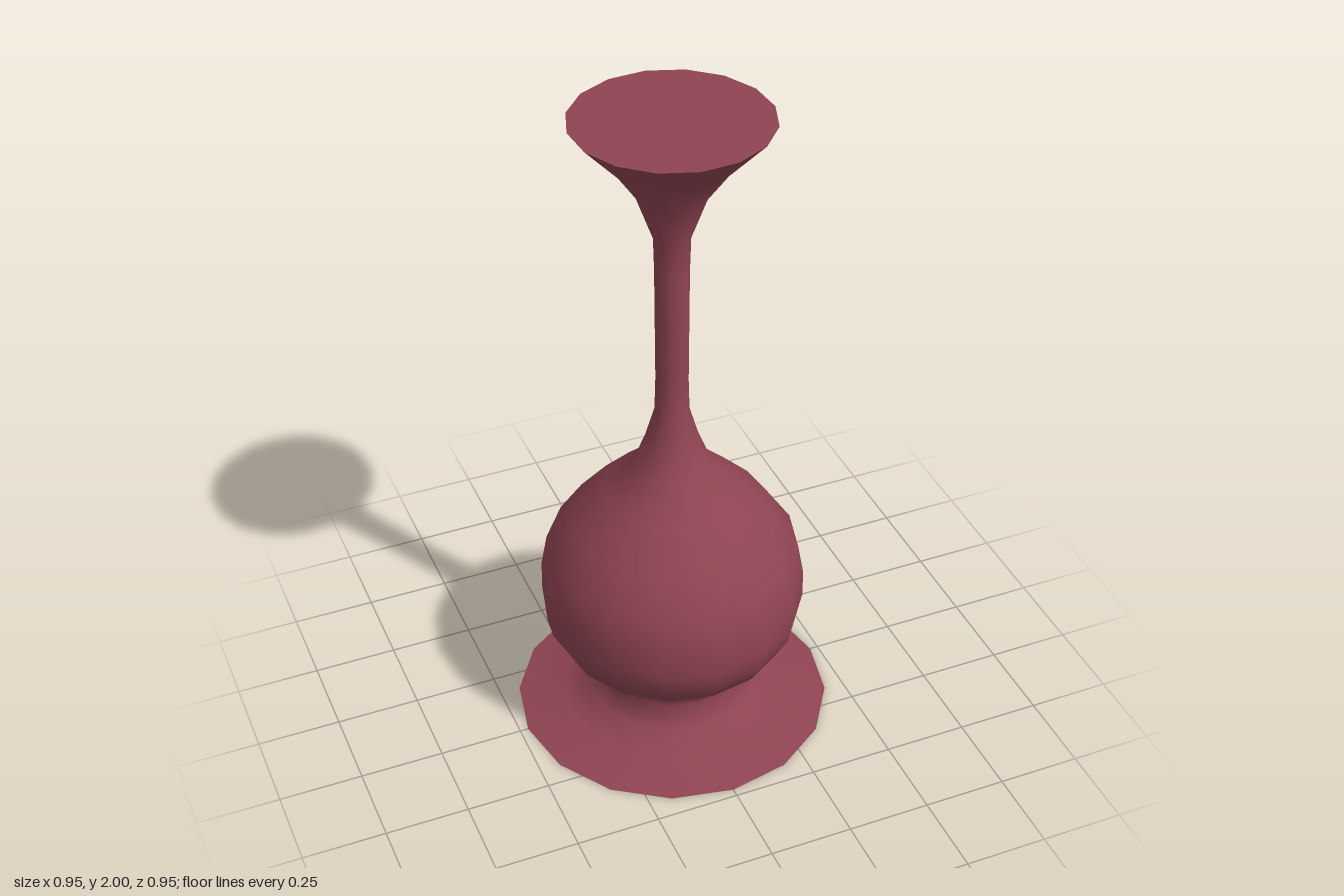
import * as THREE from 'three';

const SIDES = 16;
const TWIST = THREE.MathUtils.degToRad(0.38); // slight turn added at each ring

// radius, height from foot to rim
const PROFILE = [
  [0.475, 0], [0.335, 0.03], [0.26, 0.07], [0.225, 0.135],           // foot
  [0.257, 0.19], [0.34, 0.265], [0.378, 0.335], [0.392, 0.4],        // lower bulb
  [0.391, 0.49], [0.373, 0.59], [0.3, 0.7], [0.198, 0.805],          // upper bulb
  [0.114, 0.885], [0.077, 0.98], [0.05, 1.075], [0.047, 1.18],       // shoulder
  [0.049, 1.54], [0.052, 1.645], [0.1, 1.78], [0.17, 1.88], [0.28, 2], // neck, flare
];

export function createModel() {
  const group = new THREE.Group();
  group.name = 'vase';
  const material = new THREE.MeshStandardMaterial({ color: 0x8f4452, side: THREE.DoubleSide });

  // Open-bottomed shell, each ring rotated a little further than the one below
  const shell = new THREE.LatheGeometry(PROFILE.map(([r, y]) => new THREE.Vector2(r, y)), SIDES);
  const up = new THREE.Vector3(0, 1, 0);
  const v = new THREE.Vector3();
  for (const attribute of [shell.attributes.position, shell.attributes.normal]) {
    for (let i = 0; i < attribute.count; i++) {
      v.fromBufferAttribute(attribute, i).applyAxisAngle(up, -TWIST * (i % PROFILE.length));
      attribute.setXYZ(i, v.x, v.y, v.z);
    }
  }
  const body = new THREE.Mesh(shell, material);
  body.name = 'body';
  group.add(body);

  // Flat lid closing the flared mouth
  const [rimRadius, rimHeight] = PROFILE[PROFILE.length - 1];
  const lid = new THREE.CircleGeometry(rimRadius, SIDES);
  lid.rotateX(-Math.PI / 2);
  lid.rotateY(-TWIST * (PROFILE.length - 1));
  const mouth = new THREE.Mesh(lid, material);
  mouth.name = 'mouthDisc';
  mouth.position.y = rimHeight;
  group.add(mouth);

  return group;
}
